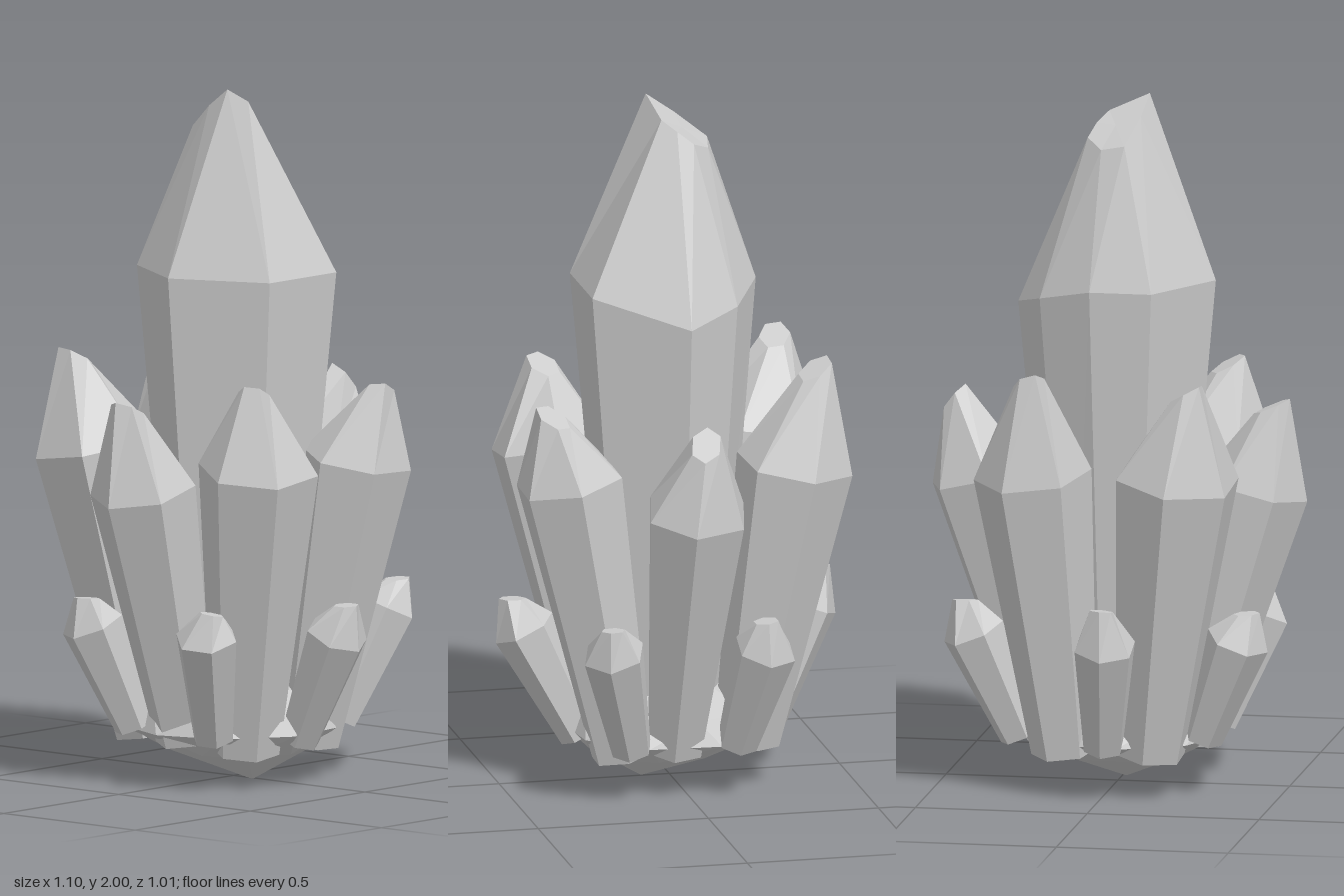
import * as THREE from 'three';

const V = (x, y, z) => new THREE.Vector3(x, y, z);
const UP = V(0, 1, 0);
const material = new THREE.MeshStandardMaterial({ color: 0xcccccc, flatShading: true });

// Skin a stack of equal-length rings (bottom to top) and cap both ends
function loft(rings) {
  const pos = [];
  const tri = (...pts) => pts.forEach((p) => pos.push(p.x, p.y, p.z));
  const centre = (ring) => ring.reduce((s, p) => s.add(p), V(0, 0, 0)).divideScalar(ring.length);
  const n = rings[0].length;
  const low = rings[0], high = rings[rings.length - 1];
  const lowC = centre(low), highC = centre(high);
  for (let i = 0; i < n; i++) {
    const j = (i + 1) % n;
    for (let k = 0; k + 1 < rings.length; k++) {
      const a = rings[k], b = rings[k + 1];
      tri(a[i], b[i], a[j]);
      tri(b[i], b[j], a[j]);
    }
    tri(lowC, low[i], low[j]);
    tri(highC, high[j], high[i]);
  }
  const g = new THREE.BufferGeometry();
  g.setAttribute('position', new THREE.Float32BufferAttribute(pos, 3));
  g.computeVertexNormals();
  return g;
}

// Polygon around a centre, square to an axis; slant tips it so one side is higher
function ringAt(centre, axis, r, sides, phase, slant = 0, slantDir = 0) {
  const q = new THREE.Quaternion().setFromUnitVectors(UP, axis);
  return Array.from({ length: sides }, (_, i) => {
    const a = phase + (i / sides) * Math.PI * 2;
    const lift = slant * Math.cos(a - slantDir);
    return V(Math.cos(a) * r, lift, Math.sin(a) * r).applyQuaternion(q).add(centre);
  });
}

// Tapered prism with a faceted point and a slanted chip at its end
function crystal({ base, shoulder, tip, r, taper, chip, sides = 6, phase, slant, slantDir }) {
  const b = V(...base), s = V(...shoulder), t = V(...tip);
  const axis = s.clone().sub(b).normalize();
  const ph = THREE.MathUtils.degToRad(phase);
  const sd = THREE.MathUtils.degToRad(slantDir);
  return loft([
    ringAt(b, axis, r * taper, sides, ph),
    ringAt(s, axis, r, sides, ph),
    ringAt(t, axis, chip, sides, ph, slant, sd),
  ]);
}

export function createModel() {
  const group = new THREE.Group();
  const add = (name, geometry) => {
    const mesh = new THREE.Mesh(geometry, material);
    mesh.name = name;
    group.add(mesh);
  };

  // Central crystal: seven uneven sides
  const shoulder = [
    [0.29, 1.39, 0], [0.15, 1.465, 0.26], [-0.14, 1.465, 0.26], [-0.285, 1.47, 0],
    [-0.14, 1.47, -0.245], [0.04, 1.47, -0.245], [0.2, 1.43, -0.155],
  ].map((p) => V(...p));
  const point = [
    [0.06, 1.92, -0.01], [0.03, 1.95, 0.03], [-0.084, 2, 0.05], [-0.072, 1.945, -0.03],
    [-0.04, 1.875, -0.12], [0.03, 1.86, -0.107], [0.078, 1.885, -0.055],
  ].map((p) => V(...p));
  const root = shoulder.map((p) => V(p.x * 0.58, 0.12, p.z * 0.58));
  add('centralCrystal', loft([root, shoulder, point]));

  // Six medium crystals leaning outwards
  const medium = [
    { name: 'leftCrystal', base: [0.2, 0.13, 0.03], shoulder: [0.4, 0.88, 0.01], tip: [0.475, 1.1, 0], r: 0.155, phase: 12, slantDir: 200 },
    { name: 'frontLeftCrystal', base: [0.13, 0.1, 0.17], shoulder: [0.16, 0.93, 0.33], tip: [0.19, 1.13, 0.385], r: 0.16, phase: 0, slantDir: 130 },
    { name: 'frontRightCrystal', base: [-0.13, 0.1, 0.16], shoulder: [-0.235, 0.94, 0.3], tip: [-0.265, 1.165, 0.31], r: 0.175, phase: 0, slantDir: 150 },
    { name: 'rightCrystal', base: [-0.21, 0.13, 0], shoulder: [-0.4, 0.87, 0.005], tip: [-0.45, 1.11, -0.01], r: 0.155, phase: 0, slantDir: 180 },
    { name: 'backRightCrystal', base: [-0.13, 0.12, -0.2], shoulder: [-0.23, 0.95, -0.32], tip: [-0.265, 1.21, -0.37], r: 0.185, phase: 32, slantDir: 200 },
    { name: 'backLeftCrystal', base: [0.12, 0.12, -0.2], shoulder: [0.19, 0.95, -0.325], tip: [0.19, 1.23, -0.385], r: 0.17, phase: -8, slantDir: 250 },
  ];
  medium.forEach((m) => add(m.name, crystal({ taper: 0.56, chip: 0.045, slant: 0.035, ...m })));

  // Six small crystals in the gaps around the foot
  const small = [
    { name: 'smallFrontCrystal', base: [-0.01, 0.13, 0.26], shoulder: [-0.03, 0.45, 0.42], tip: [-0.03, 0.54, 0.455], phase: 30, slantDir: 90 },
    { name: 'smallFrontLeftCrystal', base: [0.26, 0.15, 0.17], shoulder: [0.38, 0.47, 0.25], tip: [0.415, 0.55, 0.26], phase: 20, slantDir: 30 },
    { name: 'smallFrontRightCrystal', base: [-0.26, 0.15, 0.15], shoulder: [-0.37, 0.46, 0.22], tip: [-0.37, 0.53, 0.24], phase: 10, slantDir: 170 },
    { name: 'smallBackRightCrystal', base: [-0.27, 0.16, -0.14], shoulder: [-0.385, 0.46, -0.2], tip: [-0.41, 0.54, -0.2], phase: 0, slantDir: 200 },
    { name: 'smallBackCrystal', base: [-0.01, 0.15, -0.29], shoulder: [-0.035, 0.47, -0.41], tip: [-0.03, 0.58, -0.44], phase: 30, slantDir: 270 },
    { name: 'smallBackLeftCrystal', base: [0.26, 0.15, -0.14], shoulder: [0.385, 0.46, -0.195], tip: [0.41, 0.55, -0.19], phase: 0, slantDir: 320 },
  ];
  small.forEach((s) => add(s.name, crystal({ r: 0.092, taper: 0.65, chip: 0.035, slant: 0.018, ...s })));

  // Shallow faceted foot, its lowest point pulled forward
  const foot = loft([[0.004, 0], [0.2, 0.085], [0.31, 0.15], [0.27, 0.22], [0.12, 0.3]].map(([r, y], k) =>
    ringAt(V(-0.01, y, 0.08 * Math.max(0, 1 - y / 0.14)), UP, r, 9, k * 0.2)));
  add('foot', foot);

  return group;
}
